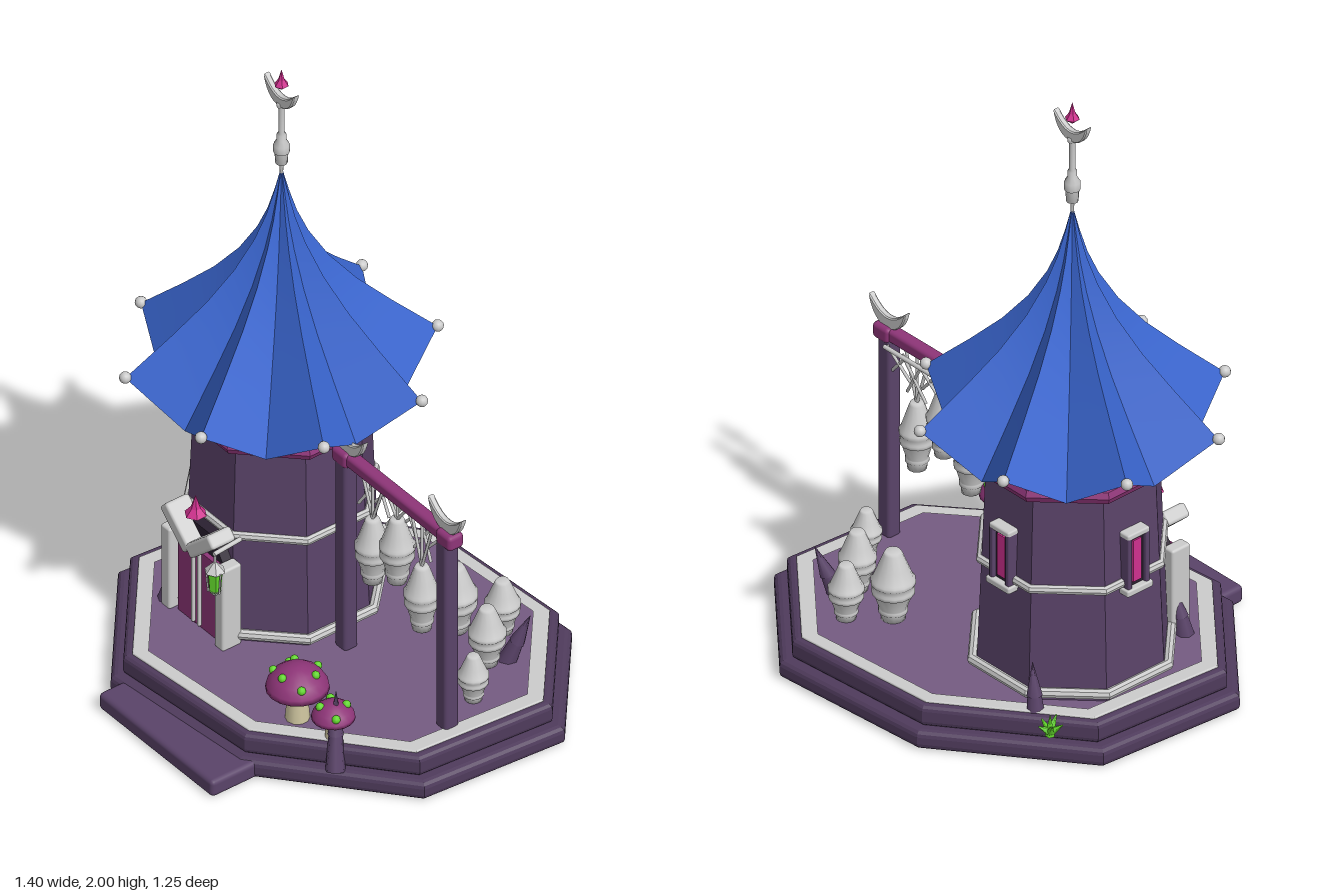
import * as THREE from 'three';
import { RoundedBoxGeometry } from 'three/addons/geometries/RoundedBoxGeometry.js';

const C = { silver: 0xcccccc, purple: 0x5a4369, dark: 0x4f3b5c, floor: 0x755b82, shadow: 0x2a2030,
  magenta: 0x8e3578, gem: 0xd0308f, blue: 0x3a66d0, green: 0x62d62c, cream: 0xcfc6a0 };
const TX = -0.255, TZ = -0.04; // tower axis
const V = (x, y, z) => new THREE.Vector3(x, y, z);

function add(parent, name, geo, color, x = 0, y = 0, z = 0, flat = false) {
  const m = new THREE.Mesh(geo, new THREE.MeshStandardMaterial({ color, flatShading: flat }));
  m.name = name;
  m.position.set(x, y, z);
  parent.add(m);
  return m;
}
function group(parent, name, x = 0, y = 0, z = 0) {
  const g = new THREE.Group();
  g.name = name;
  g.position.set(x, y, z);
  parent.add(g);
  return g;
}
// Straight rod between two points
function rod(parent, name, a, b, r0, r1, color, sides = 8) {
  const m = add(parent, name, new THREE.CylinderGeometry(r1, r0, a.distanceTo(b), sides), color);
  m.position.copy(a).lerp(b, 0.5);
  m.quaternion.setFromUnitVectors(V(0, 1, 0), b.clone().sub(a).normalize());
  return m;
}
const lathe = (pts, seg = 16) => new THREE.LatheGeometry(pts.map(p => new THREE.Vector2(p[0], p[1])), seg);

// Irregular octagonal plan of the platform, scaled about its centre
const PLAN = [[-0.20, -0.59], [0.34, -0.63], [0.695, -0.33], [0.66, 0.15], [0.245, 0.50], [-0.29, 0.55], [-0.67, 0.23], [-0.63, -0.26]];
const plan = s => PLAN.map(([x, z]) => new THREE.Vector2(0.012 + (x - 0.012) * s, 0.04 - (z + 0.04) * s));
function slab(s, h, bevel, hole) {
  const shape = new THREE.Shape(plan(s));
  if (hole) shape.holes.push(new THREE.Path(plan(hole)));
  const g = new THREE.ExtrudeGeometry(shape, { depth: h - 2 * bevel, bevelEnabled: bevel > 0, bevelThickness: bevel, bevelSize: bevel, bevelOffset: -bevel, bevelSegments: 3 });
  return g.translate(0, 0, bevel).rotateX(-Math.PI / 2);
}

function platform(root) {
  const g = group(root, 'platform');
  add(g, 'lowerStep', slab(1, 0.062, 0.02), C.dark);
  add(g, 'upperStep', slab(0.945, 0.07, 0.018), C.dark, 0, 0.06);
  add(g, 'floorBorder', slab(0.905, 0.016, 0.004, 0.84), C.silver, 0, 0.12);
  add(g, 'floor', slab(0.845, 0.012, 0), C.floor, 0, 0.12);
  add(g, 'entranceStep', new RoundedBoxGeometry(0.535, 0.058, 0.2, 2, 0.015), C.purple, 0.012, 0.029, 0.523);
}

// Eight-sided ring with a flat side facing front
function octRing(parent, name, apothem, tube, color, y, squash = 1) {
  const geo = new THREE.TorusGeometry(apothem / 0.924, tube, 8, 8).rotateZ(Math.PI / 8).rotateX(Math.PI / 2).scale(1, squash, 1);
  return add(parent, name, geo, color, 0, y, 0, true);
}

function roofGeometry() {
  // ridge profile (radius, height); valleys are drawn in and hang lower
  const prof = [[0.002, 1.64], [0.022, 1.56], [0.046, 1.48], [0.08, 1.4], [0.14, 1.3], [0.222, 1.2], [0.325, 1.1], [0.463, 0.975]];
  const pos = [], idx = [];
  for (let p = 0; p < 16; p++) {
    const base = pos.length / 3;
    prof.forEach(([r, y]) => {
      for (const k of [p, p + 1]) {
        const valley = k % 2 === 1, a = (k + 1) * Math.PI / 8, q = r * (valley ? 0.755 : 1);
        pos.push(q * Math.cos(a), valley ? y - 0.12 * r / 0.463 : y, q * Math.sin(a));
      }
    });
    for (let i = 0; i < prof.length - 1; i++) {
      const a = base + i * 2;
      idx.push(a, a + 1, a + 2, a + 1, a + 3, a + 2);
    }
  }
  const geo = new THREE.BufferGeometry();
  geo.setAttribute('position', new THREE.Float32BufferAttribute(pos, 3));
  geo.setIndex(idx);
  geo.computeVertexNormals();
  return geo;
}

// Upward-opening crescent, origin at its bottom
function crescent(parent, x, y, z, w) {
  const s = new THREE.Shape();
  s.moveTo(-w, w);
  s.quadraticCurveTo(-w * 0.75, 0, 0, 0).quadraticCurveTo(w * 0.75, 0, w, w);
  s.quadraticCurveTo(w * 0.5, w * 0.42, 0, w * 0.42).quadraticCurveTo(-w * 0.5, w * 0.42, -w, w);
  const geo = new THREE.ExtrudeGeometry(s, { depth: 0.014, bevelEnabled: true, bevelThickness: 0.004, bevelSize: 0.003, bevelSegments: 1, curveSegments: 10 });
  return add(parent, 'crescent', geo.translate(0, 0, -0.007), C.silver, x, y, z);
}
function gem(parent, x, y, z, r, h) {
  return add(parent, 'gem', lathe([[0, 0], [r, h * 0.25], [r * 0.45, h * 0.5], [0, h]], 6), C.gem, x, y, z, true);
}

function tower(root) {
  const g = group(root, 'tower', TX, 0, TZ);
  add(g, 'wall', new THREE.CylinderGeometry(0.262, 0.292, 0.72, 8).rotateY(Math.PI / 8), C.purple, 0, 0.48, 0, true);
  octRing(g, 'footBand', 0.28, 0.016, C.silver, 0.162);
  octRing(g, 'middleBand', 0.257, 0.014, C.silver, 0.5);
  octRing(g, 'topRim', 0.262, 0.03, C.magenta, 0.832, 0.9);
  const roof = add(g, 'roof', roofGeometry(), C.blue);
  roof.material.side = THREE.DoubleSide;
  for (let i = 0; i < 8; i++) {
    const a = (i + 0.5) * Math.PI / 4;
    add(g, 'roofBall', new THREE.SphereGeometry(0.018, 12, 8), C.silver, 0.463 * Math.cos(a), 0.977, 0.463 * Math.sin(a));
  }
  // finial
  add(g, 'finialPole', lathe([[0.004, 1.6], [0.006, 1.66], [0.018, 1.662], [0.02, 1.7], [0.024, 1.702], [0.024, 1.728], [0.014, 1.745],
    [0.014, 1.765], [0.009, 1.77], [0.009, 1.86], [0.014, 1.865], [0.014, 1.88], [0, 1.885]], 10), C.silver);
  crescent(g, 0, 1.872, 0, 0.068);
  gem(g, 0, 1.925, 0, 0.022, 0.073);
  // windows on the back and on the -x side
  for (const a of [Math.PI, -Math.PI / 2]) {
    const w = group(g, 'window');
    w.rotation.y = a;
    const d = 0.257;
    add(w, 'windowRecess', new THREE.BoxGeometry(0.07, 0.17, 0.03), C.shadow, 0, 0.57, d);
    add(w, 'windowPane', new THREE.BoxGeometry(0.032, 0.14, 0.012), C.gem, 0, 0.57, d + 0.014);
    for (const s of [-1, 1]) add(w, 'windowJamb', new RoundedBoxGeometry(0.016, 0.18, 0.04, 1, 0.004), C.purple, s * 0.034, 0.57, d + 0.008);
    add(w, 'windowSill', new RoundedBoxGeometry(0.1, 0.022, 0.05, 1, 0.006), C.silver, 0, 0.476, d + 0.01);
    add(w, 'windowHead', new RoundedBoxGeometry(0.085, 0.02, 0.045, 1, 0.006), C.silver, 0, 0.66, d + 0.006);
  }
}

function entrance(root) {
  const g = group(root, 'entrance', TX, 0, 0);
  const gable = new THREE.Shape([[-0.1, 0.13], [0.1, 0.13], [0.1, 0.41], [0.05, 0.48], [-0.05, 0.48], [-0.1, 0.41]].map(p => new THREE.Vector2(...p)));
  add(g, 'doorway', new THREE.ExtrudeGeometry(gable, { depth: 0.08, bevelEnabled: false }), C.shadow, 0, 0, 0.17);
  for (const s of [-1, 1]) {
    add(g, 'doorLeaf', new THREE.BoxGeometry(0.086, 0.27, 0.03), C.magenta, s * 0.047, 0.27, 0.25);
    add(g, 'doorStrip', new RoundedBoxGeometry(0.012, 0.26, 0.014, 1, 0.004), C.silver, s * 0.014, 0.27, 0.267);
    add(g, 'doorPost', new RoundedBoxGeometry(0.042, 0.29, 0.07, 2, 0.008), C.silver, s * 0.125, 0.275, 0.25);
    const beam = add(g, 'doorBeam', new RoundedBoxGeometry(0.15, 0.045, 0.085, 2, 0.01), C.silver, s * 0.057, 0.465, 0.262);
    beam.rotation.z = s * 0.74;
  }
  gem(g, 0, 0.515, 0.27, 0.034, 0.09);
  // hanging lantern
  const l = group(g, 'doorLantern', 0.142, 0.35, 0.31);
  add(l, 'lanternGlass', new THREE.CylinderGeometry(0.024, 0.018, 0.075, 6), C.green, 0, 0.053, 0, true);
  add(l, 'lanternFoot', new THREE.CylinderGeometry(0.02, 0.006, 0.02, 6), C.silver, 0, 0.01, 0, true);
  add(l, 'lanternCap', new THREE.ConeGeometry(0.032, 0.035, 6), C.silver, 0, 0.105, 0, true);
  for (let i = 0; i < 3; i++) {
    const a = i * Math.PI * 2 / 3;
    rod(l, 'lanternBar', V(0.02 * Math.cos(a), 0.015, 0.02 * Math.sin(a)), V(0.026 * Math.cos(a), 0.09, 0.026 * Math.sin(a)), 0.003, 0.003, C.silver, 5);
  }
  rod(l, 'lanternHook', V(0, 0.11, 0), V(0, 0.15, 0), 0.004, 0.004, C.silver);
  rod(l, 'lanternArm', V(0, 0.148, 0.004), V(-0.01, 0.148, -0.1), 0.007, 0.007, C.silver);
}

// Banded jar, origin at its foot
function jar(parent, name, x, y, z, r, h) {
  const prof = [[0, 0], [0.55, 0], [0.6, 0.1], [0.68, 0.12], [0.68, 0.17], [0.64, 0.18], [0.88, 0.38], [0.98, 0.39], [1, 0.44], [0.94, 0.46],
    [0.96, 0.52], [1.03, 0.54], [1.03, 0.59], [0.93, 0.61], [0.72, 0.76], [0.44, 0.96], [0.36, 1], [0, 1]];
  return add(parent, name, lathe(prof.map(([a, b]) => [a * r, b * h]), 14), C.silver, x, y, z);
}

function gate(root) {
  const g = group(root, 'gate', 0, 0, -0.018);
  for (const x of [0.077, 0.548]) {
    add(g, 'gatePost', new RoundedBoxGeometry(0.052, 0.68, 0.05, 2, 0.012), C.purple, x, 0.465, 0);
    add(g, 'beamEnd', new RoundedBoxGeometry(0.07, 0.052, 0.056, 2, 0.014), C.magenta, x + (x < 0.3 ? -0.005 : 0.012), 0.815, 0);
    crescent(g, x < 0.3 ? 0.09 : 0.548, 0.836, 0, 0.075);
  }
  add(g, 'gateBeam', new RoundedBoxGeometry(0.52, 0.042, 0.042, 2, 0.012), C.magenta, 0.315, 0.816, 0);
  // rope net and hanging jars
  rod(g, 'netRail', V(0.1, 0.79, -0.036), V(0.53, 0.79, -0.036), 0.007, 0.007, C.silver);
  for (let i = 0; i < 6; i++) {
    const x = 0.115 + i * 0.065, low = 0.66 + 0.04 * (i % 2);
    rod(g, 'netRope', V(x, 0.795, -0.03), V(x + 0.085, low, -0.01), 0.005, 0.005, C.silver, 5);
    rod(g, 'netRope', V(x + 0.085, 0.795, -0.03), V(x, low, -0.015), 0.005, 0.005, C.silver, 5);
  }
  for (const [x, y] of [[0.2, 0.44], [0.315, 0.51], [0.43, 0.41]]) {
    jar(g, 'hangingJar', x, y, 0, 0.052, 0.225);
    for (const d of [-0.05, 0, 0.05]) rod(g, 'jarRope', V(x, y + 0.22, 0), V(x + d, 0.8, 0), 0.005, 0.005, C.silver, 5);
  }
}

function mushroom(root, x, z, r, top, spots) {
  const g = group(root, 'mushroom', x, 0, z), h = r * 0.8, y = top - h;
  add(g, 'mushroomStem', new THREE.CylinderGeometry(r * 0.28, r * 0.4, y - 0.1, 10), C.cream, 0, (y + 0.14) / 2, 0);
  add(g, 'mushroomCap', lathe([[0, 0.12 * h], [0.75 * r, 0.05 * h], [r, 0], [0.97 * r, 0.22 * h], [0.8 * r, 0.58 * h], [0.5 * r, 0.87 * h], [0.2 * r, 0.99 * h], [0, h]], 18), C.magenta, 0, y, 0);
  for (let i = 0; i < spots; i++) {
    const a = i * Math.PI * 2 / spots + 0.5, q = i % 2 ? 0.6 : 0.8;
    add(g, 'mushroomSpot', new THREE.SphereGeometry(0.013, 10, 6), C.green, q * r * Math.cos(a), y + h * (q > 0.7 ? 0.56 : 0.78), q * r * Math.sin(a));
  }
}

export function createModel() {
  const root = new THREE.Group();
  root.name = 'tentTower';
  platform(root);
  tower(root);
  entrance(root);
  gate(root);
  for (const [x, z, r, h] of [[0.21, -0.31, 0.064, 0.23], [0.3, -0.41, 0.052, 0.185], [0.39, -0.285, 0.055, 0.2], [0.5, -0.15, 0.045, 0.16]])
    jar(root, 'floorJar', x, 0.13, z, r, h);
  mushroom(root, 0.26, 0.30, 0.093, 0.315, 6);
  mushroom(root, 0.395, 0.275, 0.064, 0.255, 4);
  mushroom(root, 0.147, 0.235, 0.05, 0.218, 4);
  // leaning horns around the edge
  const horns = [[V(0.45, 0.06, 0.31), V(0.395, 0.29, 0.265)], [V(0.41, 0.12, -0.34), V(0.455, 0.29, -0.39)],
    [V(-0.41, 0.12, 0.255), V(-0.385, 0.27, 0.24)], [V(-0.42, 0.09, -0.33), V(-0.40, 0.28, -0.325)]];
  for (const [a, b] of horns) {
    const mid = a.clone().lerp(b, 0.45);
    rod(root, 'hornBase', a, mid, 0.03, 0.021, C.purple, 7);
    rod(root, 'hornTip', mid, b, 0.024, 0.001, C.purple, 7);
  }
  // leafy tuft
  const tuft = group(root, 'tuft', -0.53, 0.115, -0.375);
  for (let i = 0; i < 5; i++) {
    const a = i * Math.PI * 0.4;
    rod(tuft, 'leaf', V(0, 0.012, 0), V(0.036 * Math.cos(a), 0.04 + 0.012 * (i % 2), 0.036 * Math.sin(a)), 0.014, 0.002, C.green, 5);
  }
  rod(tuft, 'leaf', V(0, 0, 0), V(0, 0.07, 0), 0.015, 0.001, C.green, 5);
  return root;
}
